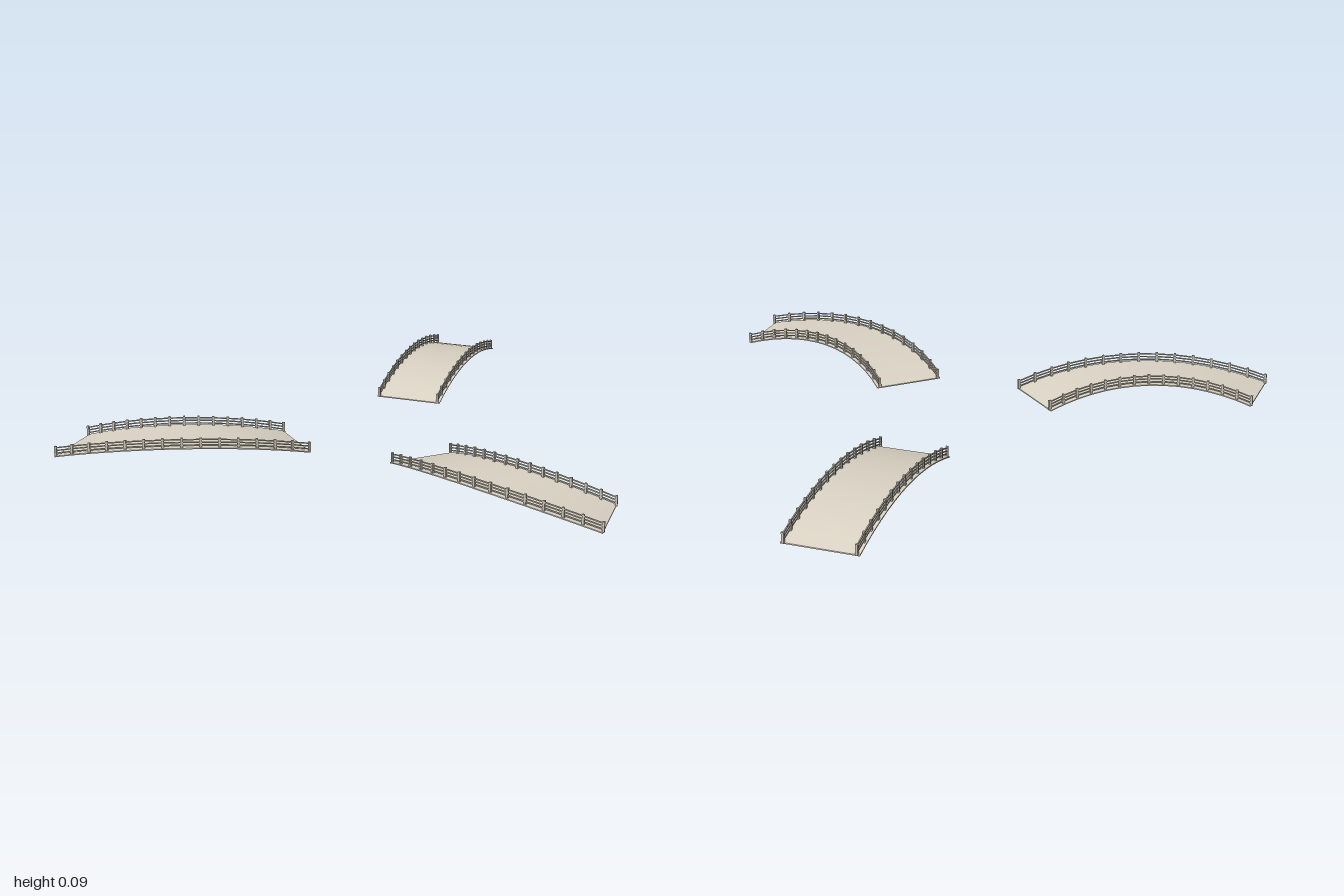
import * as THREE from 'three';
import { mergeGeometries, toCreasedNormals } from 'three/addons/utils/BufferGeometryUtils.js';

const SEGMENTS = 14;
const RISE = 0.057;

function material(name, color) {
  const m = new THREE.MeshStandardMaterial({ color });
  m.name = name;
  return m;
}
const deckMat = material('warm stone', 0xdad3c4);
const railMat = material('pale grey stone', 0xc8c2b4);

// Position and sideways direction on the arched centre line
function frameAt(curve, t) {
  const p = curve.getPointAt(t);
  p.y = 0.004 + RISE * (1 - (2 * t - 1) ** 2);
  const d = curve.getTangentAt(t);
  return { p, side: new THREE.Vector3(-d.z, 0, d.x).normalize() };
}

// Sweep a rectangle (u sideways, v upwards) along the centre line
function sweep(curve, u0, u1, v0, v1) {
  const pos = [];
  const index = [];
  for (let i = 0; i <= SEGMENTS; i++) {
    const { p, side } = frameAt(curve, i / SEGMENTS);
    for (const [u, v] of [[u0, v0], [u1, v0], [u1, v1], [u0, v1]]) {
      pos.push(p.x + side.x * u, p.y + v, p.z + side.z * u);
    }
  }
  for (let i = 0; i < SEGMENTS; i++) {
    for (let k = 0; k < 4; k++) {
      const a = i * 4 + k;
      const b = i * 4 + (k + 1) % 4;
      index.push(a, a + 4, b + 4, a, b + 4, b);
    }
  }
  const e = SEGMENTS * 4;
  index.push(0, 1, 2, 0, 2, 3, e, e + 2, e + 1, e, e + 3, e + 2);
  const g = new THREE.BufferGeometry();
  g.setAttribute('position', new THREE.Float32BufferAttribute(pos, 3));
  g.setIndex(index);
  return toCreasedNormals(g, 0.6);
}

// Upright posts spaced evenly along one edge
function posts(curve, u) {
  const list = [];
  for (let i = 0; i <= SEGMENTS; i++) {
    const { p, side } = frameAt(curve, i / SEGMENTS);
    const g = new THREE.BoxGeometry(0.008, 0.036, 0.008);
    g.rotateY(Math.atan2(side.x, side.z));
    g.translate(p.x + side.x * u, p.y + 0.016, p.z + side.z * u);
    list.push(g);
  }
  return mergeGeometries(list);
}

function makeBridge(name, points, half) {
  const curve = new THREE.CubicBezierCurve3(...points.map(([x, z]) => new THREE.Vector3(x, 0, z)));
  const bridge = new THREE.Group();
  bridge.name = name;
  const add = (part, geometry, mat) => {
    const mesh = new THREE.Mesh(geometry, mat);
    mesh.name = part;
    bridge.add(mesh);
  };
  add('deck', sweep(curve, -half, half, -0.004, 0), deckMat);
  for (const s of [-1, 1]) {
    const label = s < 0 ? 'first' : 'second';
    const u = s * (half - 0.009);
    add(label + 'Posts', posts(curve, u), railMat);
    // Horizontal bars of the railing
    for (const v of [0.008, 0.018, 0.028]) {
      add(label + 'RailBar', sweep(curve, u - 0.0018, u + 0.0018, v - 0.002, v + 0.002), railMat);
    }
  }
  return bridge;
}

export function createModel() {
  const model = new THREE.Group();
  model.name = 'bridges';
  const bend = [[-0.178, -0.152], [-0.458, -0.146], [-0.718, -0.245], [-0.908, -0.447]];
  model.add(
    makeBridge('curvedBridgeRight', bend, 0.12),
    // Same bend mirrored across the diagonal
    makeBridge('curvedBridgeFront', bend.map(([x, z]) => [-z, -x]), 0.12),
    makeBridge('straightBridge', [[0.382, -0.389], [0.555, -0.562], [0.728, -0.735], [0.901, -0.908]], 0.124),
  );
  return model;
}
